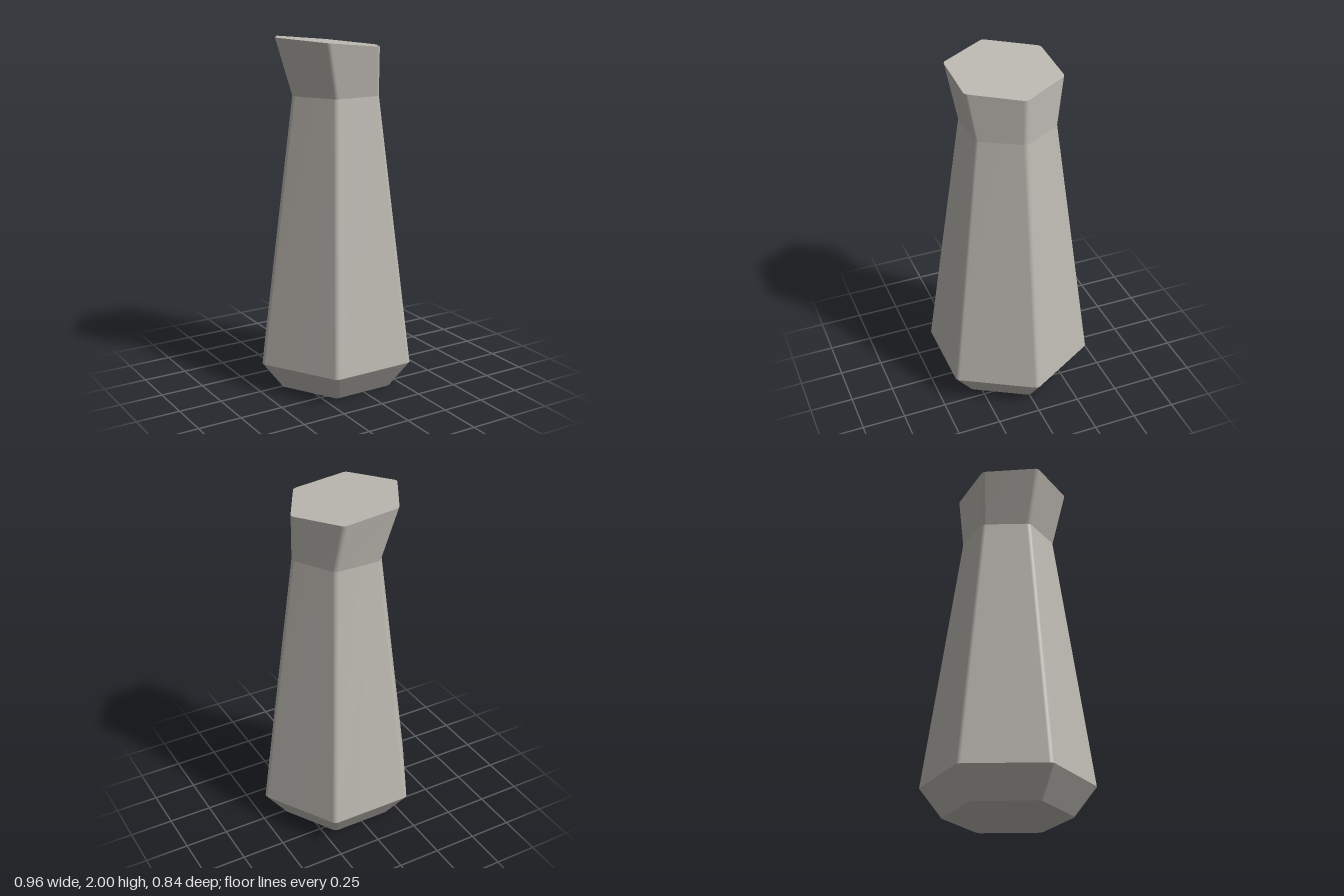
import * as THREE from 'three';

const SIDES = 6, STEPS = 4, FILLET = 0.032;

// Hexagonal ring with softly rounded corners, optionally shifted in x and tilted
function ring(radius, y, cx = 0, slope = 0) {
  const points = [];
  const inner = radius - FILLET / Math.cos(Math.PI / SIDES);
  for (let k = 0; k < SIDES; k++) {
    const corner = (k / SIDES) * Math.PI * 2;
    for (let s = 0; s <= STEPS; s++) {
      const a = corner + (s / STEPS - 0.5) * (Math.PI * 2 / SIDES);
      const x = inner * Math.cos(corner) + FILLET * Math.cos(a);
      const z = -inner * Math.sin(corner) - FILLET * Math.sin(a);
      points.push(new THREE.Vector3(cx + x, y + slope * x, z));
    }
  }
  return points;
}

function build(points, index) {
  const g = new THREE.BufferGeometry().setFromPoints(points);
  g.setIndex(index);
  g.computeVertexNormals();
  return g;
}

// Wall between two rings; smooth around the corners, hard at its ends
function band(lower, upper) {
  const n = lower.length, index = [];
  for (let i = 0; i < n; i++) {
    const j = (i + 1) % n;
    index.push(i, j, n + j, i, n + j, n + i);
  }
  return build([...lower, ...upper], index);
}

// Flat lid over a ring
function cap(points, up) {
  const index = [];
  for (let i = 1; i < points.length - 1; i++) {
    if (up) index.push(0, i, i + 1);
    else index.push(0, i + 1, i);
  }
  return build(points, index);
}

export function createModel() {
  const group = new THREE.Group();
  const stone = new THREE.MeshStandardMaterial({ color: 0xbcb8b1 });
  stone.name = 'warm grey';

  const foot = ring(0.36, 0);
  const hip = ring(0.485, 0.165);
  const neck = ring(0.273, 1.68);
  const rim = ring(0.324, 1.967, -0.052, -0.103);

  const add = (name, geometry) => {
    const mesh = new THREE.Mesh(geometry, stone);
    mesh.name = name;
    group.add(mesh);
  };
  add('bottom', cap(foot, false));
  add('taperedFoot', band(foot, hip));
  add('body', band(hip, neck));
  add('flaredNeck', band(neck, rim));
  add('slantedTop', cap(rim, true));
  return group;
}
